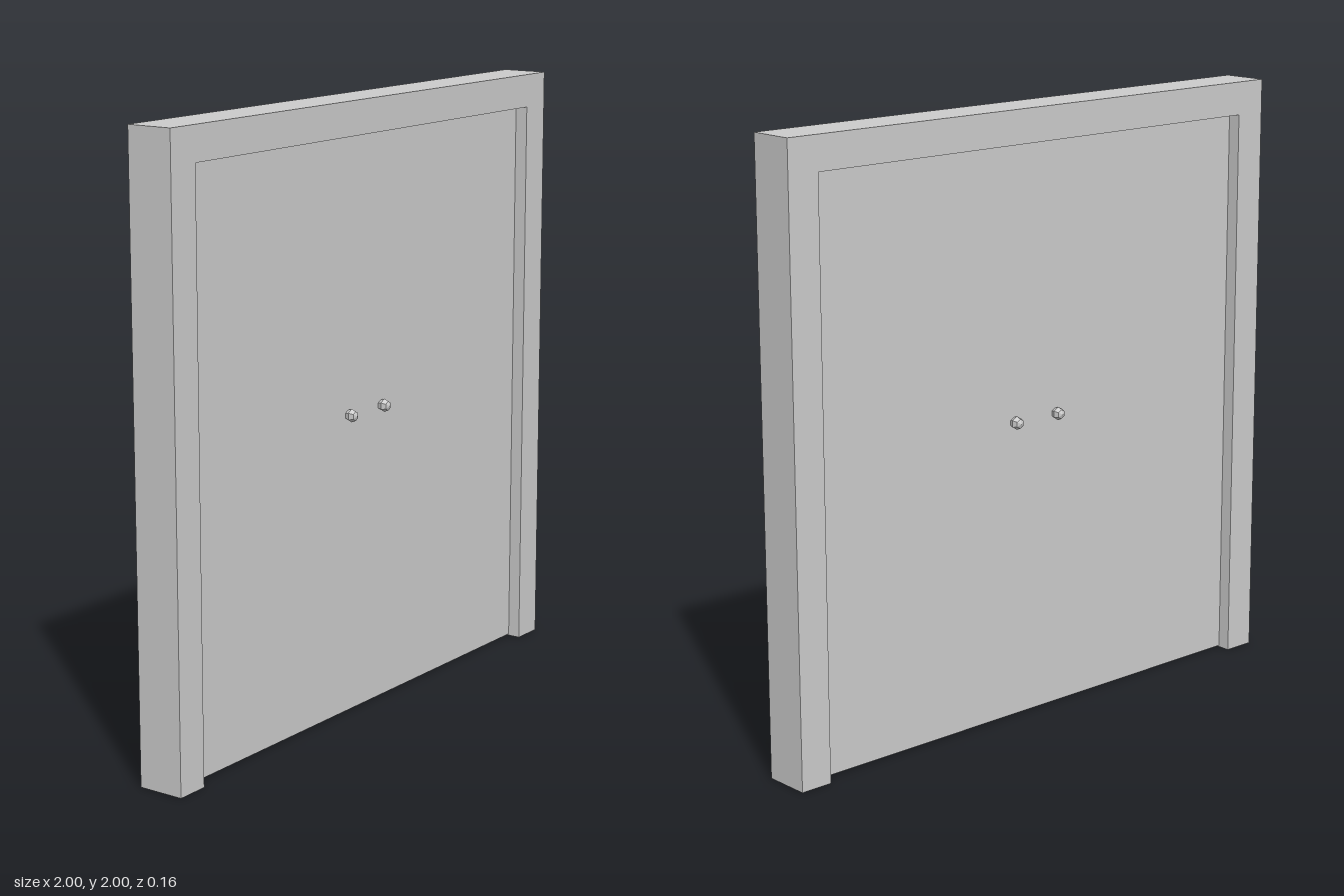
import * as THREE from 'three';

export function createModel() {
  const group = new THREE.Group();
  const material = new THREE.MeshStandardMaterial({ color: 0xcccccc, flatShading: true });
  const add = (name, geometry) => {
    const mesh = new THREE.Mesh(geometry, material);
    mesh.name = name;
    group.add(mesh);
    return mesh;
  };

  const depth = 0.156, inner = 0.89, panelDepth = 0.07, sill = 0.005;

  // Door frame: two jambs and a lintel in one outline
  const outline = new THREE.Shape([
    [-1, 0], [-inner, 0], [-inner, 1.89], [inner, 1.89],
    [inner, 0], [1, 0], [1, 2], [-1, 2],
  ].map(([x, y]) => new THREE.Vector2(x, y)));
  const frame = new THREE.ExtrudeGeometry(outline, { depth, bevelEnabled: false });
  frame.translate(0, 0, -depth / 2);
  add('doorFrame', frame);

  // Recessed door panel, just clear of the floor
  const panel = new THREE.BoxGeometry(inner * 2, 1.89 - sill, panelDepth);
  panel.translate(0, (1.89 + sill) / 2, 0);
  add('doorPanel', panel);

  // A pair of low-poly knobs on each face
  const knob = new THREE.SphereGeometry(0.022, 6, 4);
  knob.rotateY(Math.PI / 6).rotateX(Math.PI / 2);
  for (const side of [1, -1]) {
    for (const x of [0.09, -0.09]) {
      const mesh = add(`${side > 0 ? 'front' : 'back'}${x > 0 ? 'Left' : 'Right'}Knob`, knob);
      mesh.position.set(x, 0.995, side * 0.05);
    }
  }
  return group;
}
